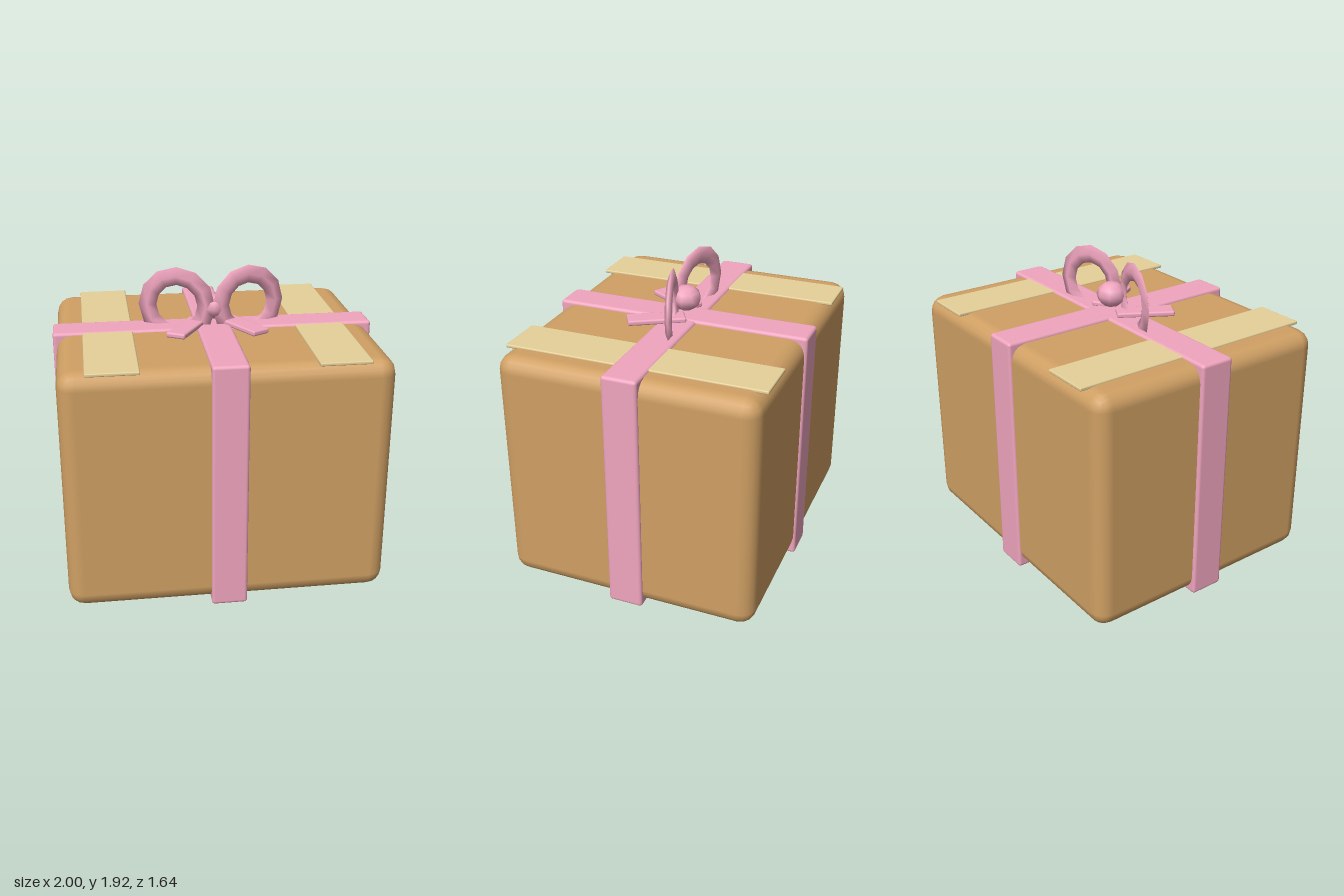
import * as THREE from 'three';
import { RoundedBoxGeometry } from 'three/addons/geometries/RoundedBoxGeometry.js';

export function createModel() {
  const group = new THREE.Group();
  const card = new THREE.MeshStandardMaterial({ color: 0xd0a064 });
  const pink = new THREE.MeshStandardMaterial({ color: 0xf0a5bf });
  const tapeColor = new THREE.MeshStandardMaterial({ color: 0xe6d19a });

  function add(name, geometry, material, x, y, z) {
    const mesh = new THREE.Mesh(geometry, material);
    mesh.name = name;
    mesh.position.set(x, y, z);
    group.add(mesh);
    return mesh;
  }
  const rounded = (w, h, d, r, seg = 2) => new RoundedBoxGeometry(w, h, d, seg, r);

  // Cardboard body
  add('box', rounded(1.96, 1.52, 1.615, 0.1), card, 0, 0.785, 0);

  // Ribbons wrapped around the box in both directions
  add('ribbonFrontToBack', rounded(0.22, 1.565, 1.645, 0.02), pink, 0, 0.7825, 0);
  add('ribbonSideToSide', rounded(2, 1.55, 0.22, 0.02), pink, 0, 0.785, 0);

  // Knot
  const knot = add('bowKnot', new THREE.SphereGeometry(0.095, 8, 6), pink, 0, 1.665, -0.005);
  knot.scale.y = 0.84;

  for (const side of [-1, 1]) {
    const prefix = side > 0 ? 'left' : 'right';

    // Packing tape strips across the top
    add(prefix + 'Tape', rounded(0.31, 0.022, 1.62, 0.008, 1), tapeColor, side * 0.665, 1.544, 0);

    // Bow loop: faceted ring with a thin diamond section, swept slightly back
    const loop = add(prefix + 'BowLoop', new THREE.TorusGeometry(0.187, 0.057, 4, 12), pink, side * 0.225, 1.68, 0);
    loop.scale.z = 0.38;
    loop.rotation.y = side * 0.28;

    // Ribbon tail lying on top, angled forwards
    const tail = add(prefix + 'BowTail', rounded(0.125, 0.034, 0.36, 0.012), pink, side * 0.175, 1.572, 0.125);
    tail.rotation.y = side * Math.PI / 6;
  }
  return group;
}
